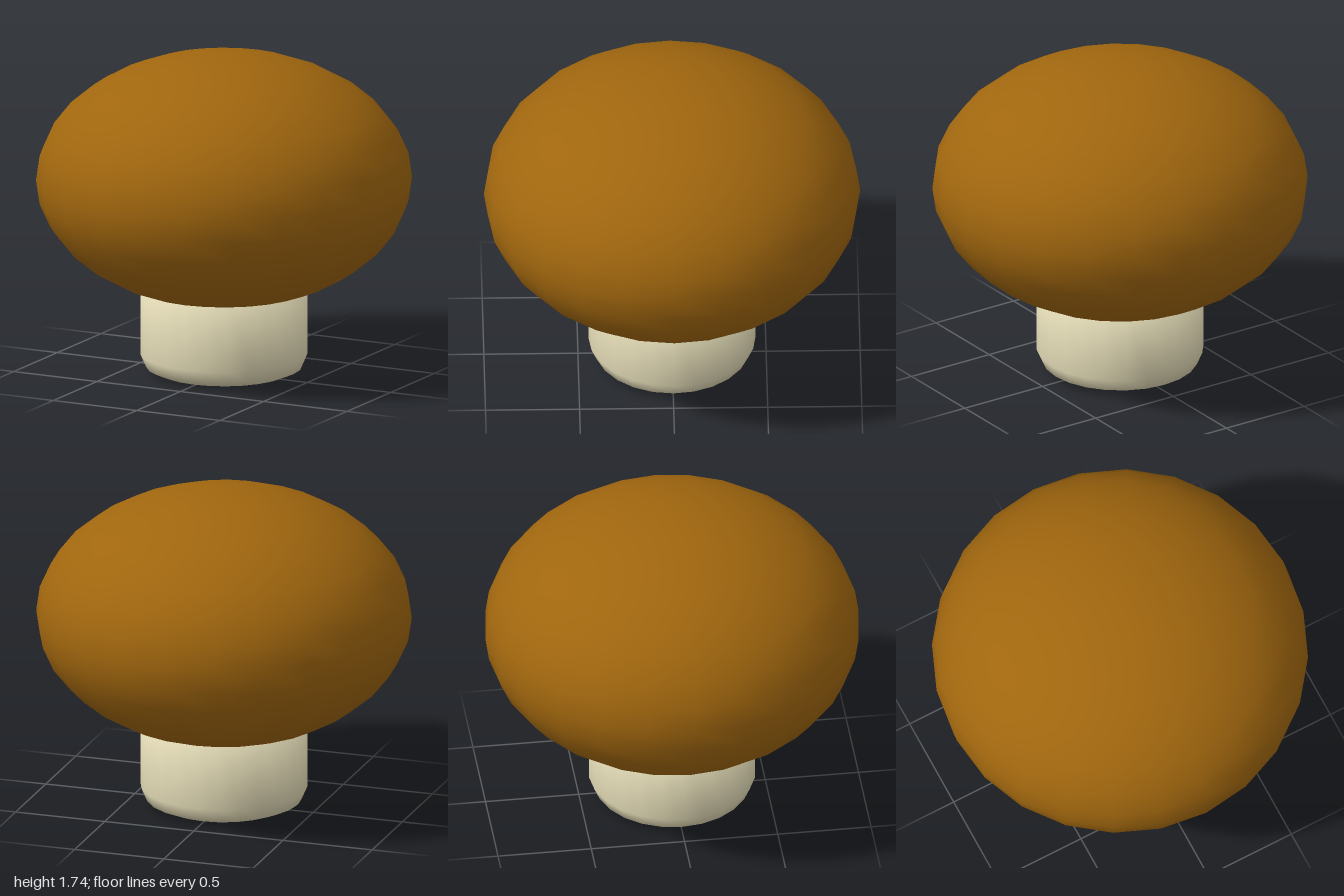
import * as THREE from 'three';

export function createModel() {
  const model = new THREE.Group();
  const capBrown = new THREE.MeshStandardMaterial({ color: 0xa0660e });
  capBrown.name = 'cap brown';
  const stemCream = new THREE.MeshStandardMaterial({ color: 0xded6b2 });
  stemCream.name = 'stem cream';

  // Rounded cap: a squashed sphere whose underside runs into the stem
  const capGeometry = new THREE.SphereGeometry(1, 24, 16);
  capGeometry.scale(1, 0.675, 1);
  const cap = new THREE.Mesh(capGeometry, capBrown);
  cap.name = 'cap';
  cap.position.y = 1.06;
  model.add(cap);

  // Short stem with a rounded foot, its top hidden inside the cap
  const profile = [[0, 0], [0.345, 0.005], [0.415, 0.035], [0.445, 0.105], [0.445, 0.5], [0, 0.5]]
    .map(([r, y]) => new THREE.Vector2(r, y));
  const stem = new THREE.Mesh(new THREE.LatheGeometry(profile, 24), stemCream);
  stem.name = 'stem';
  model.add(stem);

  return model;
}
